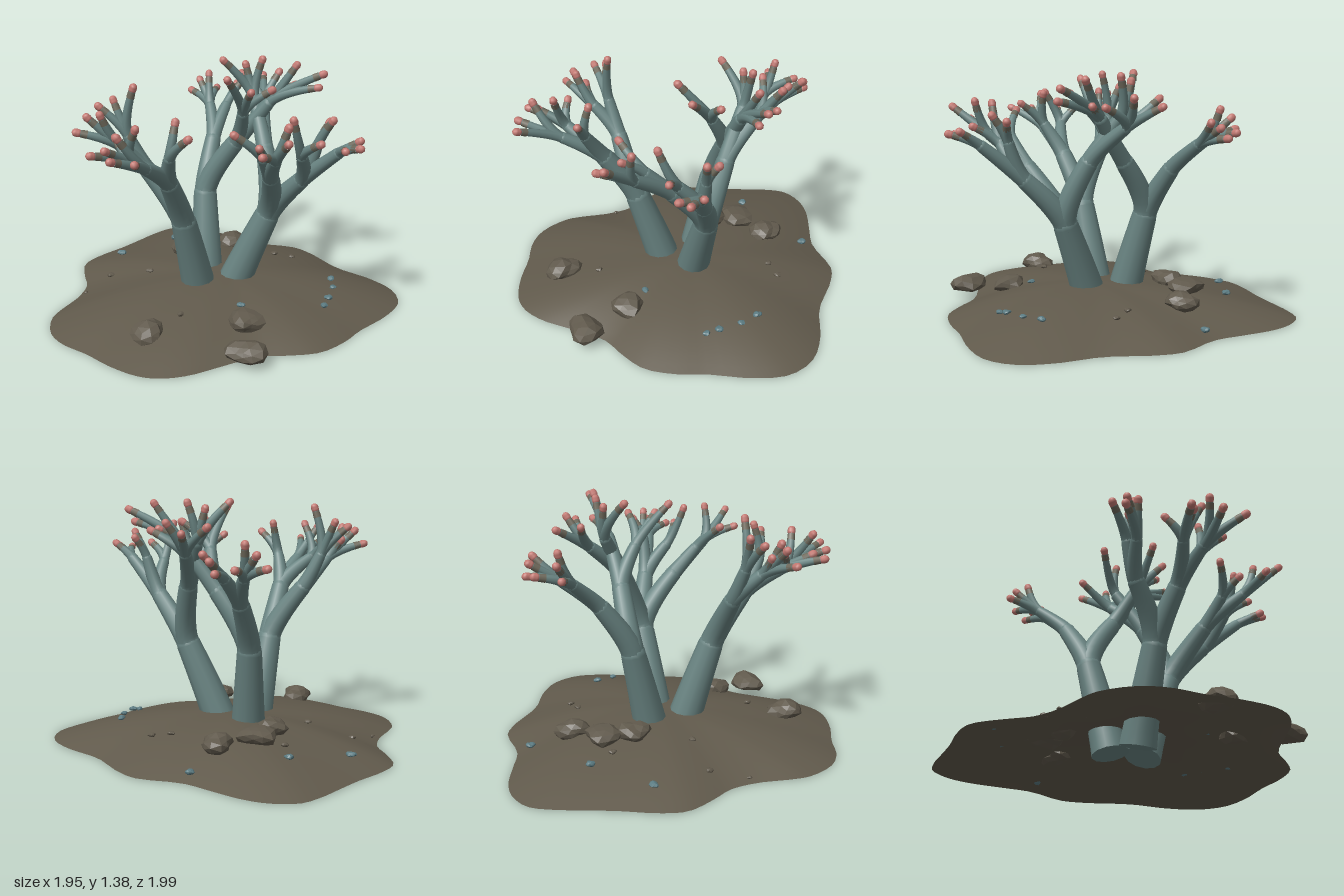
import * as THREE from 'three';
import { mergeGeometries, mergeVertices } from 'three/addons/utils/BufferGeometryUtils.js';

const material = (name, color, extra = {}) => {
  const m = new THREE.MeshStandardMaterial({ color, ...extra });
  m.name = name;
  return m;
};
const mats = {
  sand: material('sand', 0x615a4c, { side: THREE.DoubleSide }),
  stone: material('stone', 0x615a4d, { flatShading: true }),
  coral: material('coral', 0x6a8583),
  band: material('tipBand', 0x6e695b),
  tip: material('tip', 0xc47a73),
  pebble: material('pebble', 0x5b7b82, { flatShading: true }),
};
const V = (p) => new THREE.Vector3(p[0], p[1], p[2]);
const UP = new THREE.Vector3(0, 1, 0);

function addMesh(parent, name, geometry, mat) {
  const mesh = new THREE.Mesh(geometry, mat);
  mesh.name = name;
  parent.add(mesh);
  return mesh;
}

// Shoreline of the mound as [x, z]
const OUTLINE = [
  [-.49, -1], [-.35, -.98], [-.18, -.91], [-.01, -.84], [.24, -.83], [.37, -.75], [.56, -.57],
  [.77, -.46], [.92, -.33], [.975, -.16], [.92, .03], [.8, .24], [.74, .38], [.63, .53], [.48, .6],
  [.33, .65], [.16, .8], [.03, .92], [-.1, .985], [-.22, .99], [-.39, .93], [-.55, .84], [-.71, .77],
  [-.82, .67], [-.885, .5], [-.88, .4], [-.845, .21], [-.855, .05], [-.92, -.08], [-.98, -.25],
  [-.94, -.39], [-.845, -.56], [-.775, -.71], [-.71, -.85], [-.63, -.96],
];
const TOP = 0.165;

// Open domed sheet: shrinking copies of the shoreline
function moundGeometry() {
  const curve = new THREE.CatmullRomCurve3(OUTLINE.map(([x, z]) => new THREE.Vector3(x, 0, z)), true);
  const n = 96, rings = 14, pos = [], index = [];
  for (let r = 0; r <= rings; r++) {
    const s = r / rings;
    for (let i = 0; i < n; i++) {
      const p = curve.getPoint(i / n);
      pos.push(p.x * s, TOP * (1 - s * s), p.z * s);
      if (r === rings) continue;
      const a = r * n + i, b = r * n + (i + 1) % n;
      index.push(a, b + n, a + n);
      if (r > 0) index.push(a, b, b + n);
    }
  }
  const g = new THREE.BufferGeometry();
  g.setAttribute('position', new THREE.Float32BufferAttribute(pos, 3));
  g.setIndex(index);
  g.computeVertexNormals();
  return g;
}

// Height of the mound under a point
function groundAt(x, z) {
  const a = Math.atan2(z, x);
  const near = OUTLINE.reduce((best, p) => {
    const d = Math.cos(Math.atan2(p[1], p[0]) - a);
    return d > best.d ? { d, r: Math.hypot(p[0], p[1]) } : best;
  }, { d: -2, r: 1 });
  return TOP * Math.max(0, 1 - (x * x + z * z) / near.r ** 2);
}

// Lumpy stone, uneven by a smooth rule
function stoneGeometry(size, seed) {
  let g = new THREE.IcosahedronGeometry(1, 1);
  g.deleteAttribute('uv');
  g.deleteAttribute('normal');
  g = mergeVertices(g, 1e-3);
  const p = g.attributes.position, v = new THREE.Vector3();
  for (let i = 0; i < p.count; i++) {
    v.fromBufferAttribute(p, i);
    const k = 1 + .14 * Math.sin(v.x * 3.1 + seed * 2.3) + .12 * Math.sin(v.z * 4.3 + v.y * 2 + seed * 5.1);
    p.setXYZ(i, v.x * k * size, v.y * k * size * .55, v.z * k * size);
  }
  g.computeVertexNormals();
  return g;
}

// Tapered tube along a curve
function limb(curve, r0, r1, sides) {
  const steps = 7;
  const g = new THREE.TubeGeometry(curve, steps, 1, sides);
  const p = g.attributes.position, v = new THREE.Vector3();
  for (let i = 0; i < p.count; i++) {
    const t = Math.floor(i / (sides + 1)) / steps;
    const c = curve.getPointAt(t);
    v.fromBufferAttribute(p, i).sub(c).multiplyScalar(r0 + (r1 - r0) * t).add(c);
    p.setXYZ(i, v.x, v.y, v.z);
  }
  return g;
}

function aim(g, at, dir) {
  return g.applyQuaternion(new THREE.Quaternion().setFromUnitVectors(UP, dir)).translate(at.x, at.y, at.z);
}

// Grows one forked coral: a node is { at, r, to }, a bare [x, y, z] is a tip
function buildCoral(name, base, tree) {
  const limbs = [], bands = [], tips = [];
  const grow = (from, dir, r, node) => {
    const isTip = Array.isArray(node);
    const end = V(isTip ? node : node.at);
    const endR = isTip ? .019 : node.r;
    const bend = from.clone().addScaledVector(dir, from.distanceTo(end) * .25);
    const curve = new THREE.QuadraticBezierCurve3(from, bend, end);
    const out = curve.getTangent(1);
    if (isTip) {
      const stop = end.clone().addScaledVector(out, -.03);
      limbs.push(limb(new THREE.QuadraticBezierCurve3(from, bend, stop), Math.min(r, .031), endR, 8));
      bands.push(aim(new THREE.CylinderGeometry(.0205, .0225, .035, 8, 1, true), end.clone().addScaledVector(out, -.05), out));
      tips.push(aim(new THREE.CapsuleGeometry(.022, .012, 3, 8), end.clone().addScaledVector(out, -.013), out));
      return;
    }
    limbs.push(limb(curve, r, endR, 12));
    limbs.push(new THREE.SphereGeometry(endR, 12, 8).translate(end.x, end.y, end.z));
    for (const child of node.to) grow(end, out, endR * .94, child);
  };
  const foot = V(base);
  const lean = V(tree.at).sub(foot).normalize();
  lean.y += .25;
  lean.normalize();
  limbs.push(aim(new THREE.CircleGeometry(.102, 12).rotateX(Math.PI / 2), foot, lean));
  grow(foot, lean, .102, tree);

  const group = new THREE.Group();
  group.name = name;
  addMesh(group, 'branches', mergeGeometries(limbs), mats.coral);
  addMesh(group, 'tipBands', mergeGeometries(bands), mats.band);
  addMesh(group, 'tips', mergeGeometries(tips), mats.tip);
  return group;
}
const N = (at, r, ...to) => ({ at, r, to });

export function createModel() {
  const model = new THREE.Group();
  model.name = 'coralOnMound';
  addMesh(model, 'mound', moundGeometry(), mats.sand);

  model.add(buildCoral('frontCoral', [-.135, .03, .09], N([-.185, .54, .245], .07,
    N([-.37, .84, .28], .048,
      N([-.49, 1, .38], .032, [-.7, 1.09, .485], [-.65, 1.17, .45], [-.57, 1.19, .46], [-.58, 1.12, .4]),
      N([-.47, 1.03, .3], .032, [-.63, 1.2, .33], [-.56, 1.23, .28], [-.43, 1.31, .31])),
    N([-.21, .82, .42], .052,
      N([-.26, .97, .64], .032, [-.23, 1.08, .905], [-.375, 1.07, .86], [-.37, 1.17, .77]),
      N([-.17, 1, .54], .032, [-.04, 1.14, .62], [-.14, 1.2, .52]),
      N([-.35, .98, .58], .032, [-.515, 1.06, .765], [-.46, 1.1, .54], [-.45, 1.08, .73], [-.3, 1.19, .67])))));

  model.add(buildCoral('leftCoral', [.01, .03, 0], N([.225, .53, 0], .07,
    N([.43, .79, .1], .048,
      N([.64, .99, .21], .032, [.775, 1.06, .325], [.765, 1.08, .245], [.7, 1.05, .36]),
      N([.46, .97, .25], .032, [.43, 1.2, .355], [.58, 1.08, .355]),
      N([.52, 1, .13], .03, [.61, 1.16, .165], [.58, 1.13, .08])),
    N([.29, .83, .22], .048,
      N([.28, .98, .36], .032, [.285, 1.08, .5], [.14, 1.13, .46]),
      N([.36, 1, .45], .032, [.465, 1.16, .65], [.33, 1.08, .65], [.435, 1.2, .49])),
    N([.185, .88, -.13], .052,
      N([.13, 1.08, -.34], .034, [.08, 1.21, -.56], [.2, 1.26, -.46], [-.03, 1.24, -.45], [.32, 1.21, -.365]),
      N([.09, 1.13, -.27], .034, [-.085, 1.36, -.22], [.13, 1.36, -.31], [.03, 1.33, -.3])))));

  model.add(buildCoral('backCoral', [-.15, .03, -.09], N([-.19, .55, -.22], .07,
    N([-.19, .83, -.4], .048,
      N([-.25, .99, -.57], .032, [-.405, 1.06, -.68], [-.35, 1.13, -.69], [-.28, 1.18, -.66], [-.26, 1.06, -.785]),
      N([-.16, .99, -.6], .032, [-.165, 1.04, -.8], [-.13, 1.1, -.775], [-.085, 1.13, -.74])),
    N([-.015, .87, -.22], .052,
      N([.18, 1.12, -.22], .036, [.5, 1.31, -.22], [.34, 1.35, -.25], [.48, 1.24, -.18], [.31, 1.21, -.27]),
      N([.06, 1.08, -.11], .034, [.015, 1.32, .08], [.145, 1.25, .05], [.24, 1.24, -.08])))));

  // Large stones: x, z, size
  [[-.1, -.55, .09], [-.29, -.44, .095], [-.34, -.28, .09], [.225, .47, .095], [.28, .74, .1], [-.26, .7, .095]]
    .forEach(([x, z, s], i) => addMesh(model, 'stone', stoneGeometry(s, i + 1), mats.stone)
      .position.set(x, Math.max(.075, groundAt(x, z) + .025), z));

  // Scattered pebbles: x, z, size
  const scatter = (name, list, mat) => list.forEach(([x, z, s], i) =>
    addMesh(model, name, stoneGeometry(s, i + 3), mat).position.set(x, groundAt(x, z) + s * .5, z));
  scatter('bluePebble', [[-.03, -.77, .026], [-.49, -.58, .026], [-.77, -.34, .026], [.58, -.16, .023],
    [.61, -.05, .019], [.6, .08, .023], [.59, .15, .021], [.16, .34, .021]], mats.pebble);
  scatter('brownPebble', [[-.44, -.44, .022], [-.72, -.01, .022], [-.47, .01, .02], [-.81, .18, .013],
    [.3, -.43, .02], [.19, -.42, .02], [-.13, .52, .02]], mats.stone);
  return model;
}
